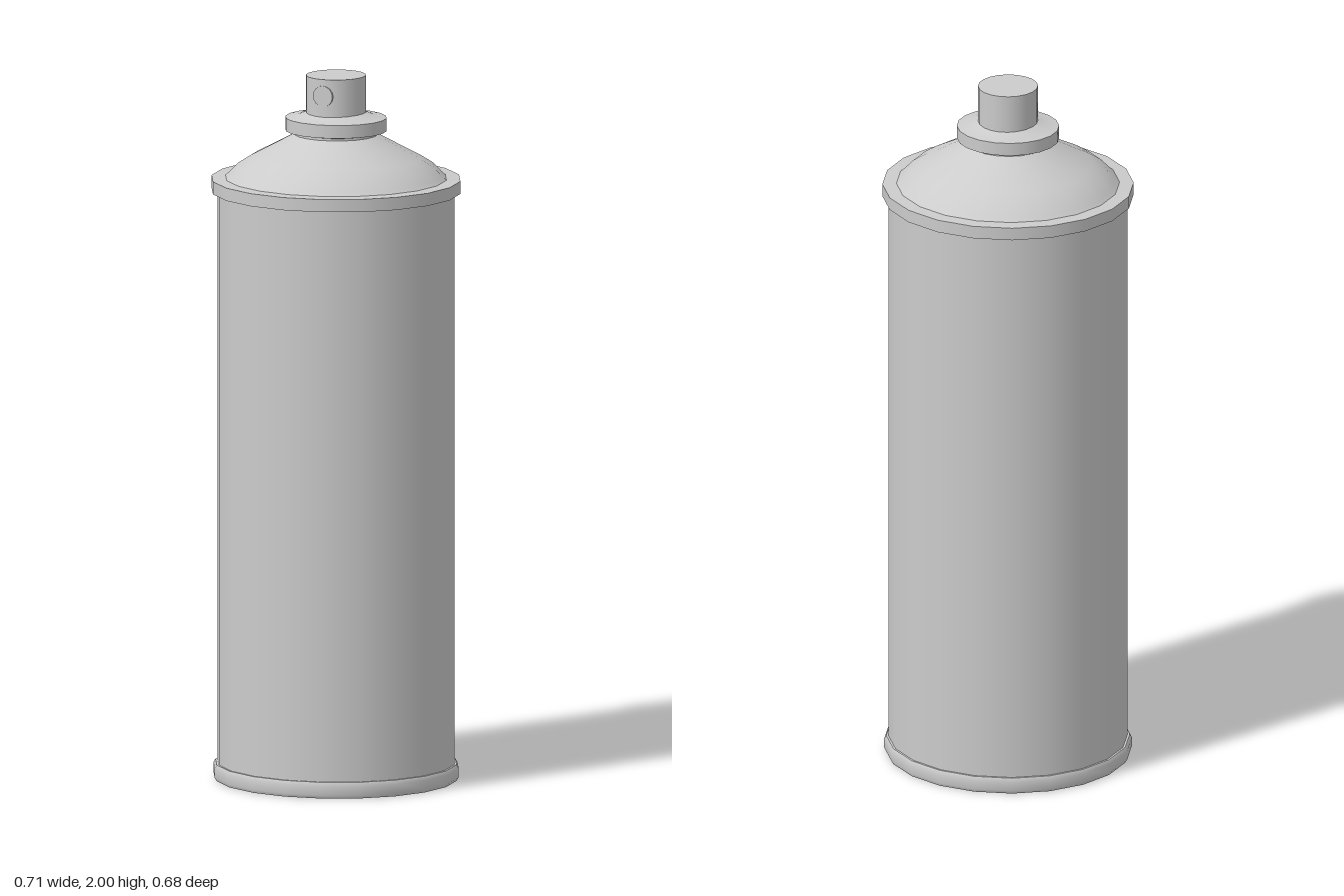
import * as THREE from 'three';

const SIDES = 20;
const DEPTH = 0.97; // the can is very slightly narrower front to back

export function createModel() {
  const model = new THREE.Group();
  const material = new THREE.MeshStandardMaterial({ color: 0xcccccc });

  // Each run is a smooth profile of [radius, height]; runs meet at sharp edges.
  function turned(name, runs, depth = DEPTH) {
    const part = new THREE.Group();
    part.name = name;
    for (const run of runs) {
      const points = run.map(([r, y]) => new THREE.Vector2(r, y));
      part.add(new THREE.Mesh(new THREE.LatheGeometry(points, SIDES), material));
    }
    part.scale.z = depth;
    model.add(part);
  }

  // Rolled seam and flat base
  turned('bottomSeam', [
    [[0, 0], [0.342, 0]],
    [[0.342, 0], [0.348, 0.01], [0.348, 0.036], [0.342, 0.046]],
    [[0.342, 0.046], [0.333, 0.046]],
  ]);

  turned('canBody', [[[0.336, 0.04], [0.336, 1.675]]]);

  turned('topSeam', [
    [[0.333, 1.67], [0.353, 1.67]],
    [[0.353, 1.67], [0.353, 1.706]],
    [[0.353, 1.706], [0.312, 1.708]],
  ]);

  // Shoulder dome, curving up to the valve
  turned('shoulder', [
    [[0.318, 1.704], [0.302, 1.718], [0.278, 1.743], [0.24, 1.767],
      [0.19, 1.793], [0.14, 1.82], [0.118, 1.832]],
  ]);

  // Valve cup
  turned('valveCollar', [
    [[0.118, 1.826], [0.118, 1.838]],
    [[0.118, 1.838], [0.144, 1.843]],
    [[0.144, 1.843], [0.144, 1.88]],
    [[0.144, 1.88], [0.11, 1.885], [0.08, 1.897]],
  ], 0.95);

  // Spray button
  turned('sprayButton', [
    [[0.084, 1.88], [0.084, 2]],
    [[0.084, 2], [0, 2]],
  ], 1.02);

  // Small spray outlet set into the front of the button
  const outlet = new THREE.Mesh(new THREE.CylinderGeometry(0.03, 0.03, 0.02, 16), material);
  outlet.name = 'sprayOutlet';
  outlet.rotation.x = Math.PI / 2;
  outlet.position.set(0, 1.952, 0.0765);
  model.add(outlet);

  return model;
}
